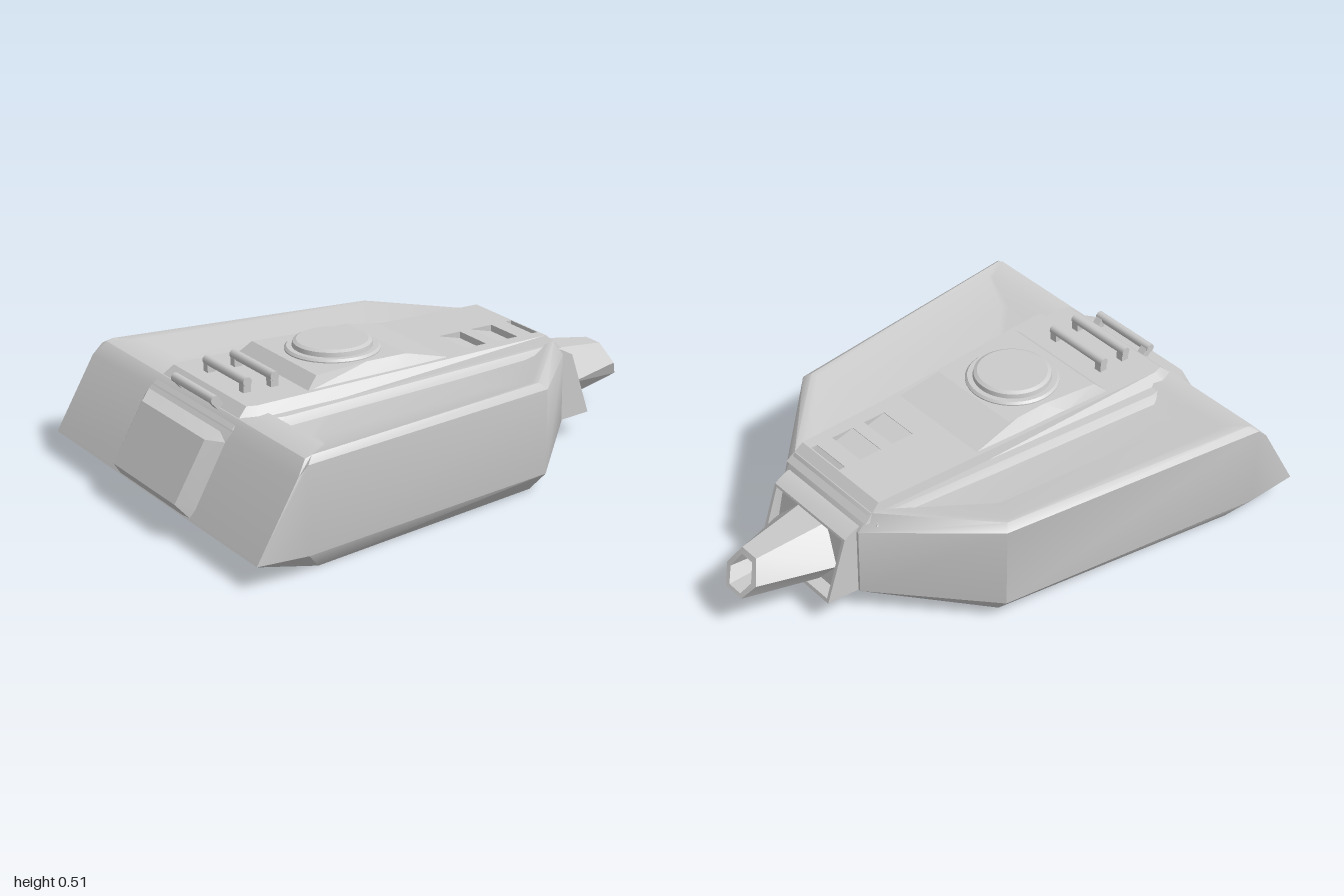
import * as THREE from 'three';
import { toCreasedNormals } from 'three/addons/utils/BufferGeometryUtils.js';

const material = new THREE.MeshStandardMaterial({ color: 0xcccccc, side: THREE.DoubleSide });

function addMesh(parent, name, geometry) {
  const mesh = new THREE.Mesh(geometry, material);
  mesh.name = name;
  parent.add(mesh);
  return mesh;
}

// Skin a list of closed rings; optionally close the last one
function loft(rings, cap = true, crease = 0.4) {
  const pos = [];
  const tri = (a, b, c) => pos.push(...a, ...b, ...c);
  const n = rings[0].length;
  for (let i = 0; i < rings.length - 1; i++) {
    for (let j = 0; j < n; j++) {
      const k = (j + 1) % n;
      const [a, b, c, d] = [rings[i][j], rings[i][k], rings[i + 1][k], rings[i + 1][j]];
      tri(a, b, c);
      tri(a, c, d);
    }
  }
  if (cap) {
    const last = rings[rings.length - 1];
    const centre = [0, 1, 2].map((q) => last.reduce((s, p) => s + p[q], 0) / n);
    last.forEach((p, j) => tri(p, last[(j + 1) % n], centre));
  }
  const g = new THREE.BufferGeometry();
  g.setAttribute('position', new THREE.Float32BufferAttribute(pos, 3));
  return toCreasedNormals(g, crease);
}

// Half outline, front to rear, mirrored across z
const mirrored = (half) => [
  ...half.map(([x, y, z]) => [x, y, -z]),
  ...half.slice().reverse(),
];

function addHandle(parent, x, y, tilt) {
  const handle = new THREE.Group();
  handle.name = 'grabHandle';
  const bar = addMesh(handle, 'handleBar', new THREE.CylinderGeometry(0.017, 0.017, 0.28, 12));
  bar.rotation.x = Math.PI / 2;
  bar.position.y = 0.038;
  for (const s of [-1, 1]) {
    const leg = addMesh(handle, 'handleLeg', new THREE.BoxGeometry(0.03, 0.055, 0.03));
    leg.position.set(0, 0.012, s * 0.122);
  }
  handle.position.set(x, y, 0);
  handle.rotation.z = tilt;
  parent.add(handle);
}

export function createModel() {
  const model = new THREE.Group();
  model.name = 'turret';

  // Hollow hull, open below, with a raised rim around a dished roof
  addMesh(model, 'hull', loft([
    mirrored([[0.53, 0, 0.18], [0.25, 0, 0.51], [-0.71, 0, 0.65], [-0.73, 0.005, 0.65]]),
    mirrored([[0.62, 0.08, 0.21], [0.27, 0.075, 0.575], [-0.78, 0.075, 0.713], [-0.975, 0.085, 0.713]]),
    mirrored([[0.62, 0.34, 0.21], [0.27, 0.388, 0.575], [-0.78, 0.388, 0.713], [-0.82, 0.35, 0.713]]),
    mirrored([[0.57, 0.405, 0.215], [0.25, 0.408, 0.55], [-0.75, 0.408, 0.685], [-0.775, 0.4, 0.685]]),
    mirrored([[0.54, 0.402, 0.21], [0.235, 0.405, 0.53], [-0.66, 0.405, 0.63], [-0.67, 0.406, 0.62]]),
    mirrored([[0.5, 0.375, 0.2], [0.17, 0.37, 0.42], [-0.6, 0.37, 0.48], [-0.62, 0.37, 0.46]]),
  ], true, 0.72));

  // Raised panel in the middle of the rear wall
  const rearSection = (z, d) => [
    [-0.73, 0.01, z], [-0.965 - d * 0.1, 0.085, z], [-0.95 - d * 0.9, 0.13, z],
    [-0.835 - d * 0.8, 0.335, z], [-0.82, 0.352, z], [-0.775, 0.395, z],
  ];
  const rearRings = [[-0.28, 0], [-0.22, 0.055], [0.22, 0.055], [0.28, 0]].map(([z, d]) => rearSection(z, d));
  addMesh(model, 'rearPanel', loft(rearRings.map((r) => r.reverse()), false));

  // Lower step beside the centre deck
  addMesh(model, 'deckStep', loft([
    mirrored([[0.57, 0.365, 0.25], [-0.65, 0.365, 0.35], [-0.69, 0.365, 0.33]]),
    mirrored([[0.55, 0.398, 0.235], [-0.63, 0.398, 0.325], [-0.67, 0.398, 0.315]]),
  ]));

  // Centre deck with three ramped vents cut in its top
  const deckTop = 0.432;
  addMesh(model, 'deckSides', loft([
    mirrored([[0.6, 0.375, 0.225], [-0.72, 0.385, 0.305], [-0.805, 0.37, 0.275]]),
    mirrored([[0.535, deckTop, 0.215], [-0.7, deckTop, 0.262], [-0.735, deckTop, 0.25]]),
  ], false));
  const deck = new THREE.Shape([
    [0.535, -0.215], [0.535, 0.215], [-0.7, 0.262], [-0.735, 0.25], [-0.735, -0.25], [-0.7, -0.262],
  ].map(([x, z]) => new THREE.Vector2(x, z)));
  const vents = [[0.21, 0.3], [0.35, 0.44], [0.505, 0.53]];
  for (const [x0, x1] of vents) {
    const rect = [[x0, -0.17], [x0, -0.01], [x1, -0.01], [x1, -0.17]];
    deck.holes.push(new THREE.Path(rect.map(([x, y]) => new THREE.Vector2(x, y))));
    const ring = (y0, y1) => [[x0, y0, 0.17], [x0, y0, 0.01], [x1, y1, 0.01], [x1, y1, 0.17]].reverse();
    addMesh(model, 'vent', loft([ring(deckTop, deckTop), ring(deckTop - 0.002, deckTop - 0.025)]));
  }
  addMesh(model, 'deckTop', new THREE.ShapeGeometry(deck).rotateX(-Math.PI / 2).translate(0, deckTop, 0));

  // Hatch base and round hatch
  addMesh(model, 'hatchBase', loft([
    mirrored([[0.12, 0.428, 0.215], [-0.1, 0.428, 0.225], [-0.3, 0.428, 0.23], [-0.49, 0.428, 0.238]]),
    mirrored([[-0.06, 0.472, 0.195], [-0.1, 0.472, 0.193], [-0.22, 0.472, 0.19], [-0.44, 0.472, 0.215]]),
  ], true, 0.2));
  const hatchProfile = [
    [0.17, 0.465], [0.17, 0.476], [0.162, 0.484], [0.143, 0.484], [0.14, 0.5], [0.127, 0.507], [0, 0.507],
  ].map(([r, y]) => new THREE.Vector2(r, y));
  addMesh(model, 'hatch', toCreasedNormals(new THREE.LatheGeometry(hatchProfile, 40), 0.4))
    .position.set(-0.24, 0, 0);

  // Grab handles at the rear of the deck
  addHandle(model, -0.665, deckTop, 0);
  addHandle(model, -0.558, deckTop, 0);
  addHandle(model, -0.765, 0.4, 0.7);

  // Gun mount: sloped frame around a shallow recess
  const frame = (xt, xb, yt, yb, z) => [[xt, yt, -z], [xt, yt, z], [xb, yb, z], [xb, yb, -z]];
  addMesh(model, 'gunMount', loft([
    frame(0.58, 0.58, 0.36, 0.08, 0.2),
    frame(0.62, 0.62, 0.355, 0.08, 0.2),
    frame(0.67, 0.75, 0.328, 0.088, 0.2),
    frame(0.673, 0.745, 0.32, 0.1, 0.187),
    frame(0.655, 0.7, 0.31, 0.11, 0.175),
  ]));

  // Six-sided tapering barrel with a slanted hollow muzzle
  const hex = (x, y, zTop, zMid, zLow) => [
    [x[0], y[0], -zTop], [x[0], y[0], zTop], [x[1], y[1], zMid],
    [x[2], y[2], zLow], [x[2], y[2], -zLow], [x[1], y[1], -zMid],
  ];
  addMesh(model, 'gunBarrel', loft([
    hex([0.65, 0.69, 0.71], [0.315, 0.205, 0.112], 0.07, 0.175, 0.095),
    hex([0.925, 0.962, 1], [0.28, 0.205, 0.145], 0.04, 0.085, 0.045),
    hex([0.935, 0.965, 0.993], [0.262, 0.205, 0.157], 0.03, 0.06, 0.032),
    hex([0.84, 0.86, 0.88], [0.25, 0.205, 0.165], 0.025, 0.05, 0.027),
  ], true, 0.25));

  return model;
}
